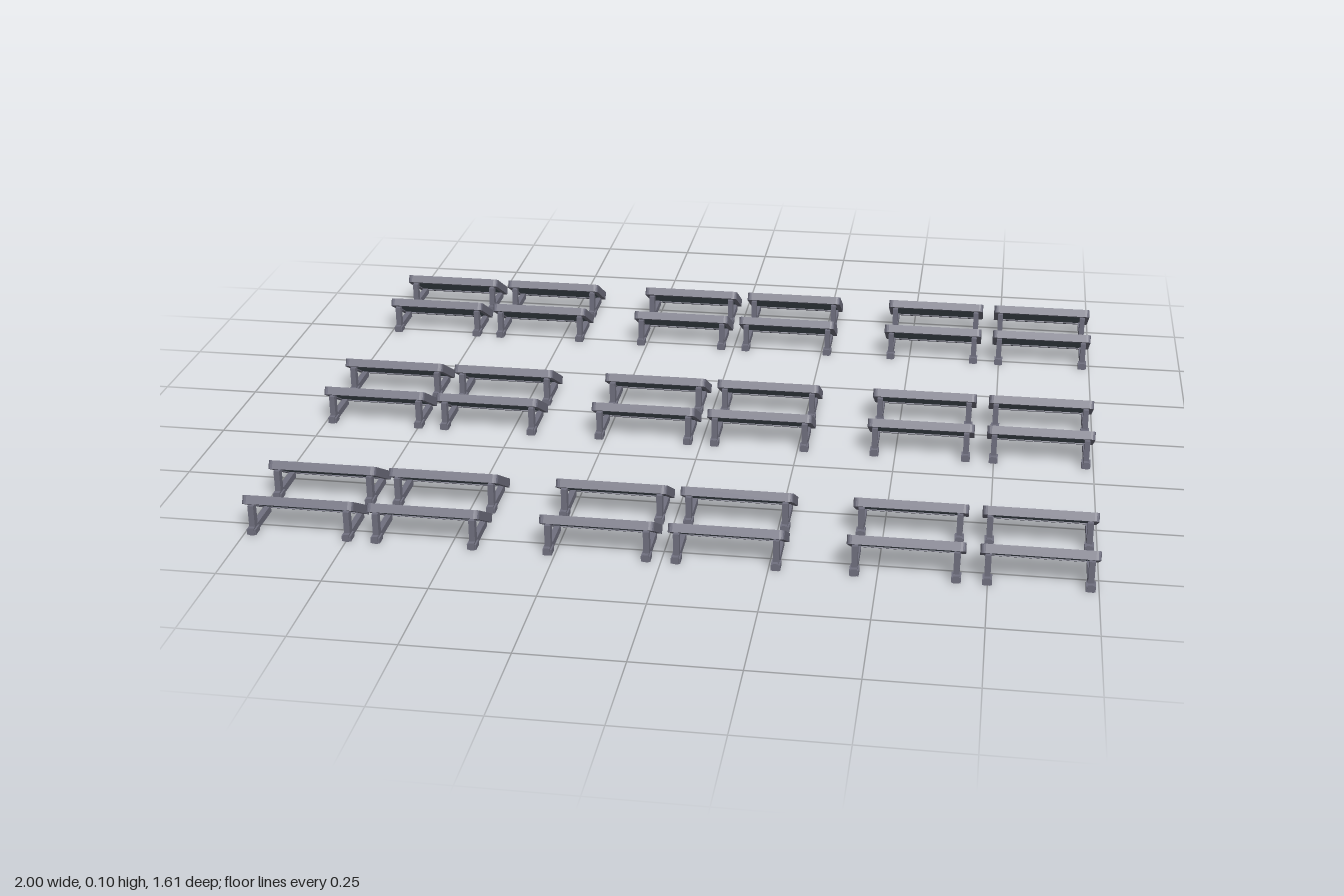
import * as THREE from 'three';
import { mergeGeometries } from 'three/addons/utils/BufferGeometryUtils.js';

const W = 0.27, L = 0.154, T = 0.021; // panel width, slope length, thickness

function mat(name, color) {
  const m = new THREE.MeshStandardMaterial({ color });
  m.name = name;
  return m;
}

// Rounded rectangle outline, centred on the origin
function roundedRect(path, w, h, r) {
  const x = w / 2, y = h / 2;
  path.moveTo(-x + r, -y);
  path.lineTo(x - r, -y);
  path.quadraticCurveTo(x, -y, x, -y + r);
  path.lineTo(x, y - r);
  path.quadraticCurveTo(x, y, x - r, y);
  path.lineTo(-x + r, y);
  path.quadraticCurveTo(-x, y, -x, y - r);
  path.lineTo(-x, -y + r);
  path.quadraticCurveTo(-x, -y, -x + r, -y);
  return path;
}

function box(w, h, d, x, y, z) {
  return new THREE.BoxGeometry(w, h, d).translate(x, y, z);
}

function strip(w, h, x, y) {
  return new THREE.PlaneGeometry(w, h).translate(x, y, 0.0087);
}

export function createModel() {
  const metal = mat('grey metal', 0x70707f);
  const dark = mat('dark backing', 0x4c565f);
  const blue = mat('blue cells', 0x6473b8);
  const wire = mat('grey wires', 0x85857c);

  // Frame: rounded ring, thickness along local z
  const ring = roundedRect(new THREE.Shape(), W, L, 0.012);
  ring.holes.push(roundedRect(new THREE.Path(), W - 0.026, L - 0.026, 0.005));
  const frameGeo = new THREE.ExtrudeGeometry(ring, { depth: T, bevelEnabled: false, curveSegments: 4 });
  frameGeo.translate(0, 0, -T / 2);

  // Backing tray and the cell sheet on top of it
  const backGeo = box(W - 0.024, L - 0.024, 0.014, 0, 0, -0.001);
  const cellW = W - 0.036, cellH = L - 0.036;
  const cellGeo = box(cellW, cellH, 0.002, 0, 0, 0.007);

  // Fine wire grid, flat strips just above the cells
  const wires = [];
  for (let i = 1; i < 8; i++) wires.push(strip(0.0014, cellH, (i / 8 - 0.5) * cellW, 0));
  for (let j = 1; j < 4; j++) wires.push(strip(cellW, 0.0014, 0, (j / 4 - 0.5) * cellH));
  const wireGeo = mergeGeometries(wires);

  // Support: ground rail, upright post and small foot block
  const supportGeo = mergeGeometries([
    box(0.014, 0.018, 0.126, 0, 0.009, 0.01),
    box(0.014, 0.066, 0.02, 0, 0.039, 0.053),
    box(0.022, 0.014, 0.028, 0, 0.007, 0.057),
  ]);

  function solarPanel() {
    const unit = new THREE.Group();
    unit.name = 'solarPanel';
    const tilted = new THREE.Group();
    tilted.name = 'tiltedPanel';
    for (const [name, geo, m] of [
      ['frame', frameGeo, metal], ['backing', backGeo, dark],
      ['cells', cellGeo, blue], ['wireGrid', wireGeo, wire],
    ]) {
      const mesh = new THREE.Mesh(geo, m);
      mesh.name = name;
      tilted.add(mesh);
    }
    // High edge at the front, cells face up and back
    tilted.rotation.x = -THREE.MathUtils.degToRad(120);
    tilted.position.y = 0.053;
    unit.add(tilted);
    for (const side of [-1, 1]) {
      const support = new THREE.Mesh(supportGeo, metal);
      support.name = side > 0 ? 'leftSupport' : 'rightSupport';
      support.position.x = side * 0.116;
      unit.add(support);
    }
    return unit;
  }

  // Three by three clusters of two by two panels
  const model = new THREE.Group();
  model.name = 'solarField';
  for (const cx of [-0.714, 0, 0.714]) for (const cz of [-0.64, 0, 0.64]) {
    const cluster = new THREE.Group();
    cluster.name = 'panelCluster';
    cluster.position.set(cx, 0, cz);
    for (const px of [-0.151, 0.151]) for (const pz of [-0.095, 0.095]) {
      const panel = solarPanel();
      panel.position.set(px, 0, pz);
      cluster.add(panel);
    }
    model.add(cluster);
  }
  return model;
}
